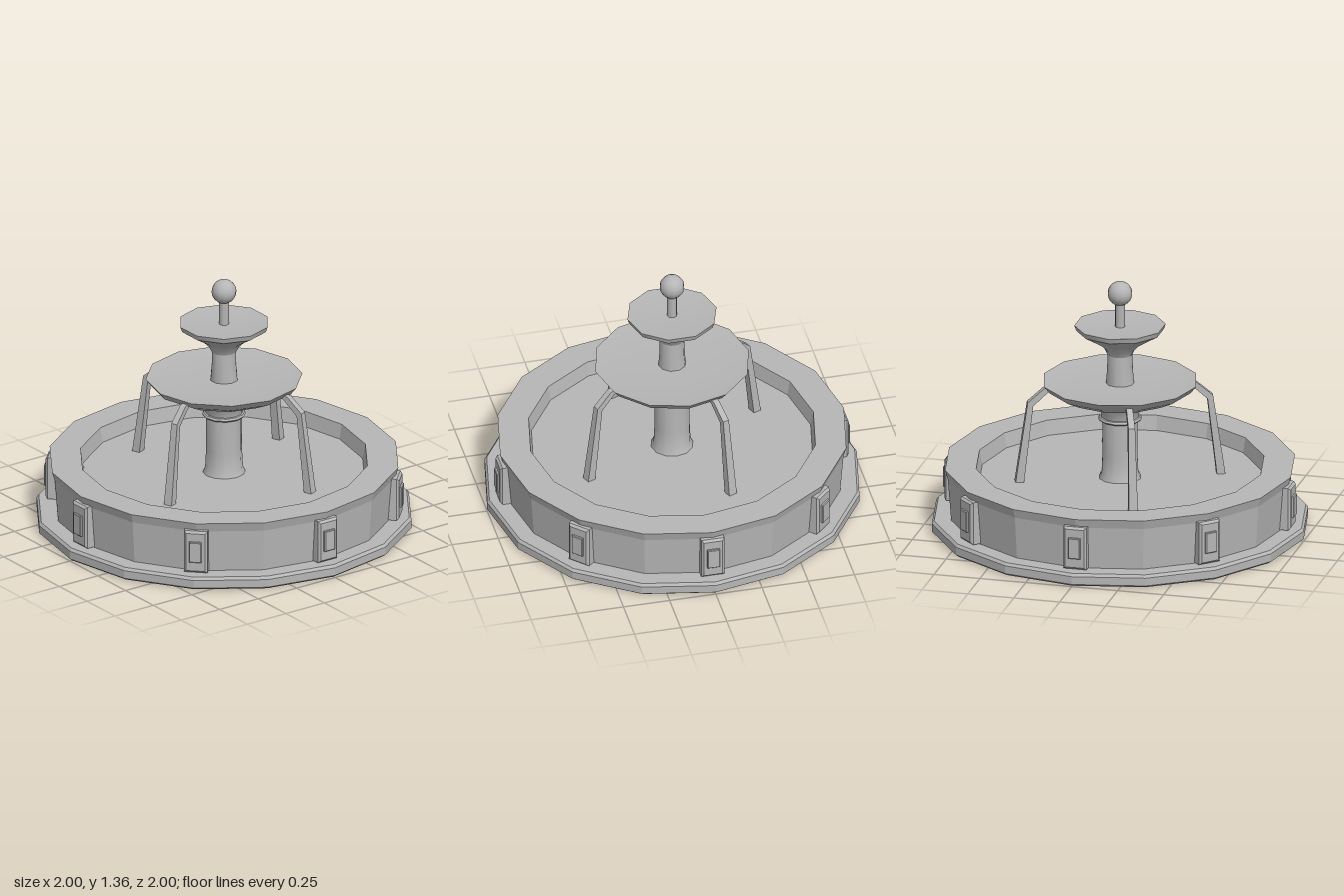
import * as THREE from 'three';
import { toCreasedNormals } from 'three/addons/utils/BufferGeometryUtils.js';

export function createModel() {
  const group = new THREE.Group();
  group.name = 'fountain';
  const stone = new THREE.MeshStandardMaterial({ color: 0xb6b6b6 });
  stone.name = 'grey stone';

  const add = (name, geometry, parent = group) => {
    const mesh = new THREE.Mesh(geometry, stone);
    mesh.name = name;
    parent.add(mesh);
    return mesh;
  };

  // Turned part from [radius, height] pairs, listed from the bottom up
  const turned = (name, profile, sides, crease) => {
    const points = profile.map(([r, y]) => new THREE.Vector2(r, y));
    const geometry = new THREE.LatheGeometry(points, sides, Math.PI / 2);
    return add(name, toCreasedNormals(geometry, crease));
  };

  // Plinth and basin with 16 flat sides
  turned('plinth', [[0, 0], [0.985, 0], [1, 0.012], [1, 0.055], [0.988, 0.07], [0.85, 0.07]], 16, 0.2);
  turned('basin', [[0.897, 0.065], [0.915, 0.3], [0.93, 0.35], [0.765, 0.35], [0.75, 0.27], [0, 0.27]], 16, 0.2);

  // Lower column with its collar, opening into the large bowl
  turned('lowerColumn', [[0.115, 0.265], [0.1, 0.3], [0.095, 0.4], [0.095, 0.59]], 12, 0.7);
  turned('collar', [[0.09, 0.588], [0.11, 0.592], [0.116, 0.6], [0.11, 0.61], [0.09, 0.615]], 12, 0.7);
  turned('largeBowl', [
    [0.1, 0.6], [0.105, 0.64], [0.135, 0.688], [0.2, 0.698], [0.3, 0.73], [0.385, 0.772],
    [0.415, 0.81], [0.36, 0.803], [0.2, 0.797], [0, 0.795],
  ], 12, 0.7);

  // Upper column, opening into the small bowl
  turned('upperColumn', [[0.075, 0.79], [0.068, 0.87], [0.066, 0.96]], 10, 0.7);
  turned('smallBowl', [
    [0.066, 0.955], [0.08, 0.985], [0.115, 1.02], [0.17, 1.055], [0.232, 1.092],
    [0.241, 1.12], [0.19, 1.114], [0, 1.11],
  ], 10, 0.7);

  // Finial
  const stem = add('finialStem', new THREE.CylinderGeometry(0.027, 0.027, 0.15, 8));
  stem.position.y = 1.175;
  const ball = add('finialBall', new THREE.SphereGeometry(0.066, 12, 10));
  ball.position.y = 1.295;

  // Bevelled slab facing +z, with its front at z = 0
  const slab = (w, h, depth, bevel) => {
    const x = w / 2 - bevel, y = h / 2 - bevel;
    const shape = new THREE.Shape([[-x, -y], [x, -y], [x, y], [-x, y]].map(([a, b]) => new THREE.Vector2(a, b)));
    const geometry = new THREE.ExtrudeGeometry(shape, {
      depth, bevelEnabled: true, bevelThickness: bevel, bevelSize: bevel, bevelSegments: 1,
    });
    return geometry.translate(0, 0, -depth - bevel);
  };

  // Eight raised panels around the basin wall
  const frame = slab(0.125, 0.235, 0.06, 0.012);
  const plate = slab(0.066, 0.115, 0.02, 0.004);
  for (let i = 0; i < 8; i++) {
    const panel = new THREE.Group();
    panel.name = 'wallPanel';
    panel.rotation.y = (i * Math.PI) / 4;
    add('panelFrame', frame, panel).position.set(0, 0.192, 0.943);
    add('panelPlate', plate, panel).position.set(0, 0.195, 0.956);
    group.add(panel);
  }

  // Four bent water streams falling from the large bowl
  const side = [[0.36, 0.775], [0.385, 0.762], [0.463, 0.69], [0.513, 0.262], [0.558, 0.262], [0.492, 0.71], [0.405, 0.785], [0.37, 0.79]];
  const width = 0.046;
  const stream = new THREE.ExtrudeGeometry(
    new THREE.Shape(side.map(([r, y]) => new THREE.Vector2(r, y))),
    { depth: width, bevelEnabled: false },
  ).translate(0, 0, -width / 2);
  // Narrow each stream towards its top
  const p = stream.attributes.position;
  for (let i = 0; i < p.count; i++) p.setZ(i, p.getZ(i) * (1.2 - 0.6 * p.getY(i)));
  stream.computeVertexNormals();
  for (let i = 0; i < 4; i++) {
    add('waterStream', stream).rotation.y = THREE.MathUtils.degToRad(22 + i * 90);
  }

  return group;
}
